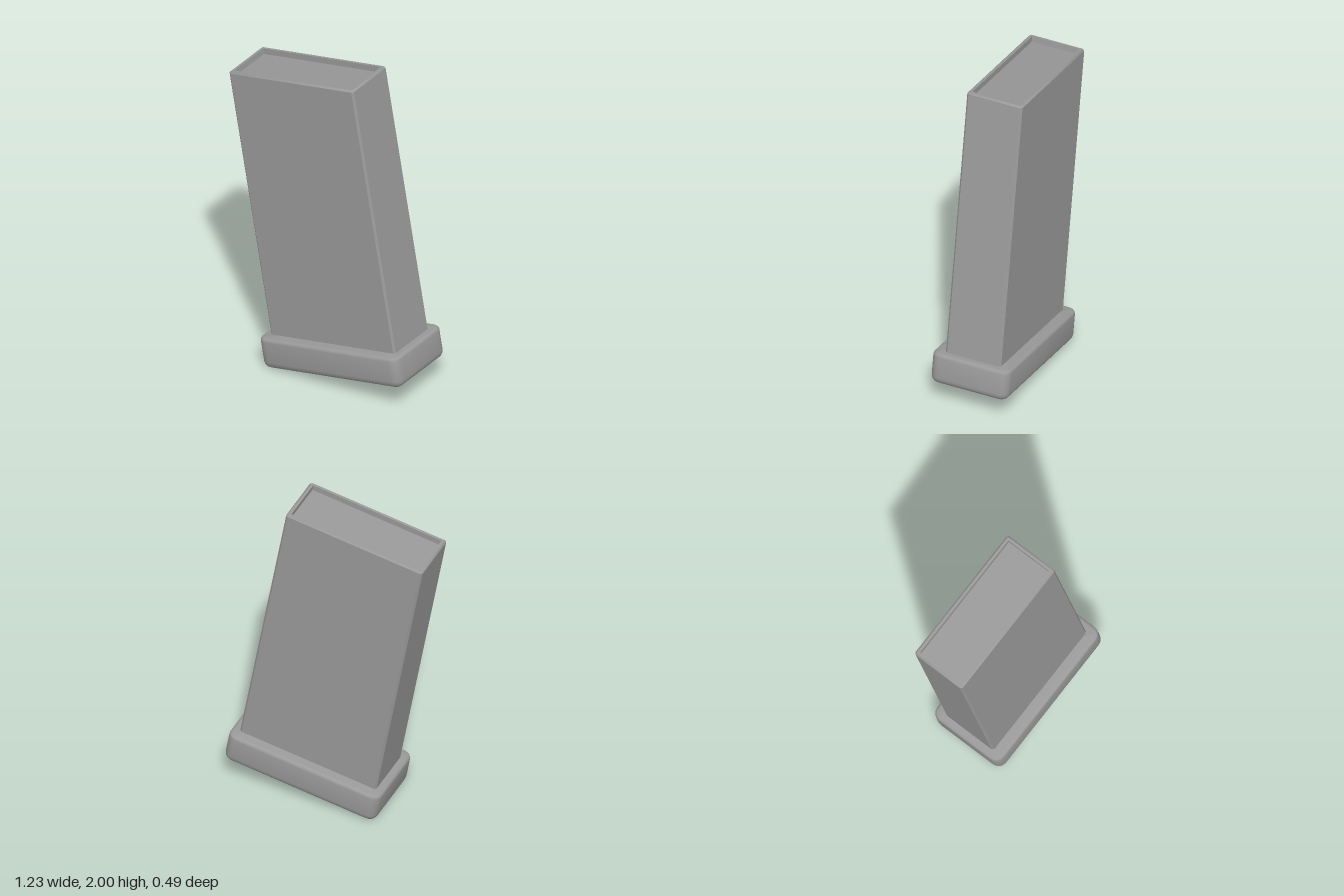
import * as THREE from 'three';
import { toCreasedNormals } from 'three/addons/utils/BufferGeometryUtils.js';

// Closed loft of rounded rectangles; each ring is [height, inset, corner radius].
function loftBox(width, depth, rings, segments) {
  const positions = [];
  const index = [];
  const n = 4 * (segments + 1);
  for (const [y, inset, r] of rings) {
    const cx = width / 2 - inset - r;
    const cz = depth / 2 - inset - r;
    for (let corner = 0; corner < 4; corner++) {
      const sx = corner === 0 || corner === 3 ? 1 : -1;
      const sz = corner < 2 ? -1 : 1;
      for (let s = 0; s <= segments; s++) {
        const a = (corner + s / segments) * Math.PI / 2;
        positions.push(sx * cx + r * Math.cos(a), y, sz * cz - r * Math.sin(a));
      }
    }
  }
  // Walls between neighbouring rings
  for (let k = 0; k < rings.length - 1; k++) {
    for (let i = 0; i < n; i++) {
      const j = (i + 1) % n;
      const a = k * n + i, b = k * n + j;
      index.push(a, b, b + n, a, b + n, a + n);
    }
  }
  // End caps
  const last = (rings.length - 1) * n;
  const bottom = positions.length / 3;
  positions.push(0, rings[0][0], 0, 0, rings[rings.length - 1][0], 0);
  for (let i = 0; i < n; i++) {
    const j = (i + 1) % n;
    index.push(bottom, j, i, bottom + 1, last + i, last + j);
  }
  const geometry = new THREE.BufferGeometry();
  geometry.setAttribute('position', new THREE.Float32BufferAttribute(positions, 3));
  geometry.setIndex(index);
  return toCreasedNormals(geometry, 0.6);
}

export function createModel() {
  const grey = new THREE.MeshStandardMaterial({ color: 0x999999 });
  grey.name = 'grey metal';

  const model = new THREE.Group();
  model.name = 'slantedCase';

  // Everything leans ten degrees towards -x
  const tilted = new THREE.Group();
  tilted.name = 'tiltedAssembly';
  tilted.rotation.z = THREE.MathUtils.degToRad(10);
  model.add(tilted);

  const add = (name, geometry) => {
    const mesh = new THREE.Mesh(geometry, grey);
    mesh.name = name;
    mesh.position.x = 0.152;
    tilted.add(mesh);
  };

  // Tall body with chamfered edges and a shallow recess in the top
  const top = 1.928;
  add('body', loftBox(0.874, 0.35, [
    [0.2, 0, 0.012],
    [top - 0.01, 0, 0.012],
    [top, 0.01, 0.005],
    [top, 0.026, 0.001],
    [top - 0.035, 0.026, 0.001],
  ], 1));

  // Foot plate: wide rounding below, a tighter one above
  const low = 0.052, high = 0.247, rLow = 0.045, rHigh = 0.022, steps = 4;
  const rings = [];
  for (let i = 0; i <= steps; i++) {
    const a = (i / steps) * Math.PI / 2;
    const inset = rLow * (1 - Math.sin(a));
    rings.push([low + rLow * (1 - Math.cos(a)), inset, 0.055 - inset]);
  }
  for (let i = 0; i <= steps; i++) {
    const a = (i / steps) * Math.PI / 2;
    const inset = rHigh * (1 - Math.cos(a));
    rings.push([high - rHigh * (1 - Math.sin(a)), inset, 0.055 - inset]);
  }
  add('footPlate', loftBox(0.972, 0.49, rings, 4));

  return model;
}
